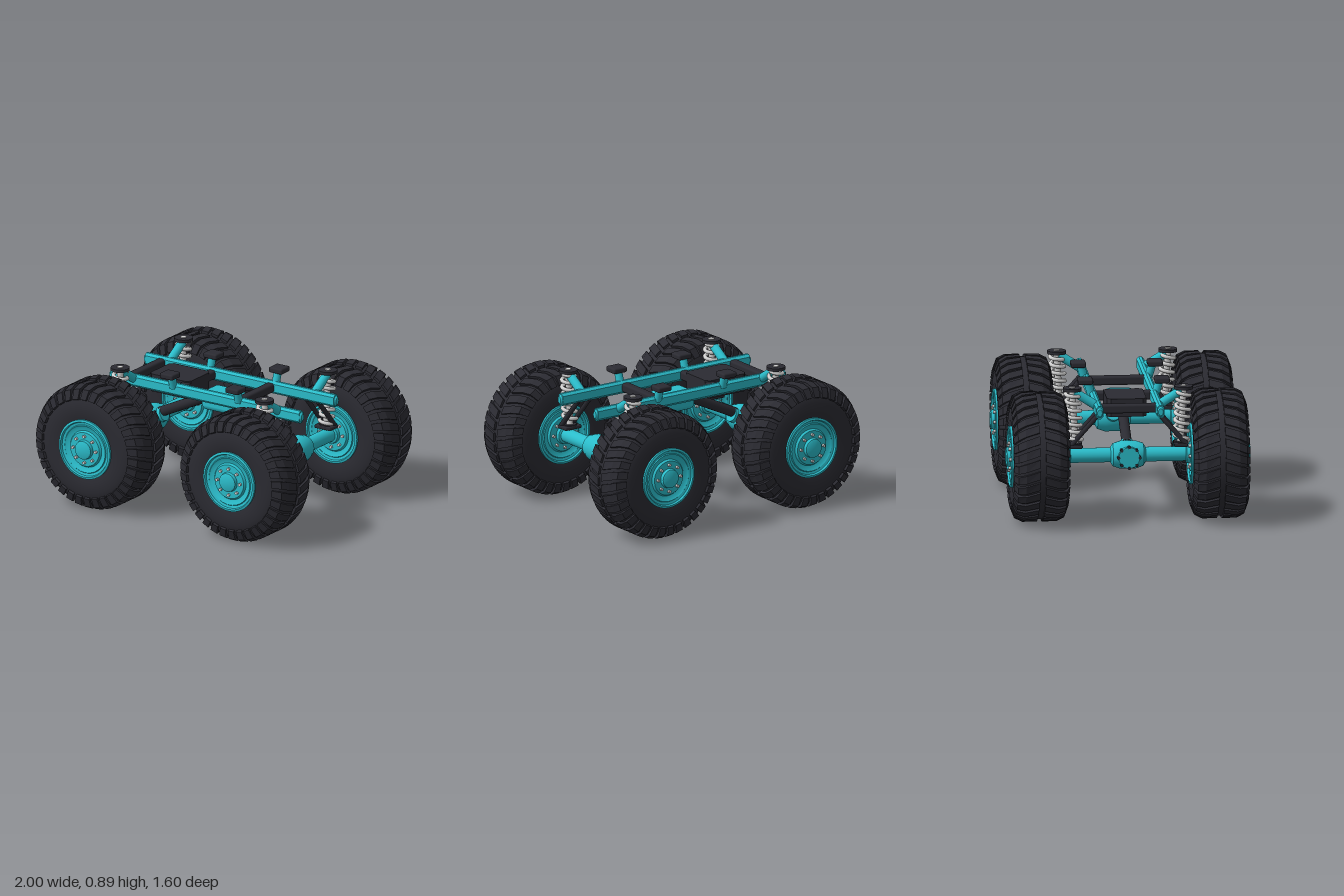
import * as THREE from 'three';
import { mergeGeometries, toCreasedNormals } from 'three/addons/utils/BufferGeometryUtils.js';
import { RoundedBoxGeometry } from 'three/addons/geometries/RoundedBoxGeometry.js';

const material = (name, color) => Object.assign(new THREE.MeshStandardMaterial({ color }), { name });
const teal = material('teal paint', 0x2bbdcb);
const black = material('black rubber', 0x2b2b32);
const steel = material('light steel', 0xd2d2d2);

const AXLE_X = 0.573, AXLE_Y = 0.427, WHEEL_Z = 0.59;

function add(parent, name, geometry, mat, x = 0, y = 0, z = 0) {
  const mesh = new THREE.Mesh(geometry, mat);
  mesh.name = name;
  mesh.position.set(x, y, z);
  parent.add(mesh);
  return mesh;
}

// Round bar between two points
function bar(parent, name, a, b, radius, mat, sides = 16) {
  const from = new THREE.Vector3(...a), to = new THREE.Vector3(...b);
  const dir = to.clone().sub(from);
  const mesh = add(parent, name, new THREE.CylinderGeometry(radius, radius, dir.length(), sides), mat);
  mesh.position.copy(from).add(to).multiplyScalar(0.5);
  mesh.quaternion.setFromUnitVectors(new THREE.Vector3(0, 1, 0), dir.normalize());
  return mesh;
}

// Box with chamfered edges in its x-y outline, extruded along z
function chamferBox(w, h, d, c) {
  const s = new THREE.Shape();
  const x = w / 2 - c, y = h / 2 - c;
  s.moveTo(-x, -y - c).lineTo(x, -y - c).lineTo(x + c, -y).lineTo(x + c, y)
    .lineTo(x, y + c).lineTo(-x, y + c).lineTo(-x - c, y).lineTo(-x - c, -y);
  s.closePath();
  return new THREE.ExtrudeGeometry(s, { depth: d, bevelEnabled: false }).translate(0, 0, -d / 2);
}

// Lathe turned about the z axis from [radius, z] points
function turned(points, segments = 48) {
  const g = new THREE.LatheGeometry(points.map(p => new THREE.Vector2(...p)), segments);
  return toCreasedNormals(g.rotateX(Math.PI / 2), 0.6);
}

// Tread lug swept from the centre groove over the shoulder
function lug(theta, side) {
  const path = [ // z, radius, sweep angle, base z, base radius
    [0.018, 0.427, 0, 0.018, 0.39], [0.11, 0.427, 0.07, 0.11, 0.39],
    [0.16, 0.403, 0.11, 0.14, 0.37], [0.185, 0.34, 0.13, 0.165, 0.33]];
  const pos = [], index = [], w = 0.064;
  for (const [z, r, sweep, bz, br] of path)
    for (const [radius, zz, o] of [[r, z, -w], [r, z, w], [br, bz, w], [br, bz, -w]]) {
      const a = theta + sweep + o;
      pos.push(radius * Math.cos(a), radius * Math.sin(a), side * zz);
    }
  const tri = (a, b, c) => side > 0 ? index.push(a, b, c) : index.push(a, c, b);
  const quad = (a, b, c, d) => { tri(a, b, c); tri(a, c, d); };
  for (let i = 0; i < path.length - 1; i++)
    for (let j = 0; j < 4; j++) {
      const k = (j + 1) % 4;
      quad(i * 4 + j, i * 4 + k, i * 4 + 4 + k, i * 4 + 4 + j);
    }
  quad(3, 2, 1, 0);
  const e = (path.length - 1) * 4;
  quad(e, e + 1, e + 2, e + 3);
  const g = new THREE.BufferGeometry();
  g.setAttribute('position', new THREE.Float32BufferAttribute(pos, 3));
  g.setIndex(index);
  const flat = g.toNonIndexed();
  flat.computeVertexNormals();
  return flat;
}

function mirrorProfile(half) { // half runs from z > 0 outward to the end
  return [...half.map(([r, z]) => [r, -z]).reverse(), ...half];
}

function createWheelParts() {
  const lugs = [], count = 34, pitch = Math.PI * 2 / count;
  for (let i = 0; i < count; i++) lugs.push(lug(i * pitch, 1), lug((i + 0.5) * pitch, -1));
  const tire = turned(mirrorProfile([[0.41, 0.1], [0.4, 0.13], [0.365, 0.162], [0.3, 0.178],
    [0.24, 0.18], [0.2, 0.17]]), 68);
  const rim = turned(mirrorProfile([[0.2, 0.165], [0.203, 0.187], [0.188, 0.191], [0.182, 0.178],
    [0.165, 0.174], [0.16, 0.18], [0.152, 0.174], [0.125, 0.168], [0.115, 0.182], [0.066, 0.184],
    [0.062, 0.206], [0.052, 0.211], [0, 0.211]]));
  const bolts = [];
  for (const side of [-1, 1])
    for (let i = 0; i < 8; i++) {
      const a = i * Math.PI / 4;
      bolts.push(new THREE.CylinderGeometry(0.011, 0.011, 0.024, 6).rotateX(Math.PI / 2)
        .translate(0.09 * Math.cos(a), 0.09 * Math.sin(a), side * 0.186));
    }
  return [['tire', tire, black], ['treadLugs', mergeGeometries(lugs), black],
    ['rim', rim, teal], ['wheelBolts', mergeGeometries(bolts), steel]];
}

// Coil-over shock standing on its lower seat at the origin
function createShock(height) {
  const g = new THREE.Group();
  g.name = 'shockAbsorber';
  const pts = [];
  for (let i = 0; i <= 112; i++) {
    const a = i / 16 * Math.PI * 2;
    pts.push(new THREE.Vector3(0.045 * Math.cos(a), 0.02 + (height - 0.03) * i / 112, 0.045 * Math.sin(a)));
  }
  add(g, 'coilSpring', new THREE.TubeGeometry(new THREE.CatmullRomCurve3(pts), 160, 0.013, 8), steel);
  add(g, 'damperRod', new THREE.CylinderGeometry(0.022, 0.022, height, 14), steel, 0, height / 2, 0);
  add(g, 'lowerSeat', new THREE.CylinderGeometry(0.045, 0.045, 0.025, 20), black);
  return g;
}

export function createModel() {
  const model = new THREE.Group();
  model.name = 'rollingChassis';

  // Wheels
  const parts = createWheelParts();
  for (const x of [-AXLE_X, AXLE_X])
    for (const z of [-WHEEL_Z, WHEEL_Z]) {
      const wheel = new THREE.Group();
      wheel.name = 'wheel';
      wheel.position.set(x, AXLE_Y, z);
      for (const [name, geometry, mat] of parts) add(wheel, name, geometry, mat);
      model.add(wheel);
    }

  // Axles and differential housings
  const housing = turned([[0.05, -0.115], [0.075, -0.1], [0.092, -0.05], [0.092, 0.05], [0.075, 0.1], [0.05, 0.115]], 24);
  for (const s of [-1, 1]) {
    const x = s * AXLE_X;
    bar(model, 'axleTube', [x, AXLE_Y, -0.42], [x, AXLE_Y, 0.42], 0.048, teal, 24);
    add(model, 'differential', housing, teal, x, AXLE_Y, 0);
    bar(model, 'pinionSnout', [x, AXLE_Y, 0], [x - s * 0.1, AXLE_Y + 0.05, 0], 0.05, teal);
  }
  bar(model, 'differentialCover', [-0.685, AXLE_Y, 0], [-0.65, AXLE_Y, 0], 0.07, teal, 24);
  for (let i = 0; i < 8; i++) {
    const a = i * Math.PI / 4, y = AXLE_Y + 0.07 * Math.sin(a), z = 0.07 * Math.cos(a);
    bar(model, 'coverBolt', [-0.69, y, z], [-0.66, y, z], 0.011, black, 6);
  }

  // Frame rails and cross members
  const rail = chamferBox(0.05, 0.085, 1.5, 0.016).rotateY(Math.PI / 2);
  for (const z of [-0.2, 0.2]) {
    add(model, 'frameRail', rail, teal, 0, 0.747, z);
    for (const end of [-1, 1])
      add(model, 'railCap', new THREE.CylinderGeometry(0.016, 0.025, 0.015, 12)
        .rotateZ(-end * Math.PI / 2).scale(1, 1.5, 1), teal, end * 0.755, 0.747, z);
  }
  for (const x of [-0.62, -0.22, 0.245])
    add(model, 'crossMember', new RoundedBoxGeometry(0.06, 0.06, 0.39, 2, 0.015), black, x, 0.747, 0);

  // Drivetrain
  add(model, 'motorBox', chamferBox(0.32, 0.26, 0.12, 0.025).rotateX(Math.PI / 2), black, -0.35, 0.725, 0);
  add(model, 'gearbox', new RoundedBoxGeometry(0.25, 0.13, 0.19, 2, 0.035), teal, 0, 0.665, 0);
  for (const s of [-1, 1])
    bar(model, 'driveShaft', [s * 0.1, 0.675, 0], [s * 0.5, 0.485, 0], 0.034, black);

  // Body mounts
  for (const x of [-0.255, 0.265])
    for (const s of [-1, 1]) {
      bar(model, 'bodyMountPost', [x, 0.76, s * 0.21], [x, 0.845, s * 0.235], 0.027, teal);
      add(model, 'bodyMountPad', new RoundedBoxGeometry(0.105, 0.038, 0.1, 2, 0.012), black, x, 0.856, s * 0.252);
    }

  // Suspension at each corner
  for (const x of [-AXLE_X, AXLE_X])
    for (const s of [-1, 1]) {
      bar(model, 'shockTower', [x, 0.755, s * 0.2], [x, 0.85, s * 0.35], 0.03, teal);
      add(model, 'shockTopCap', new THREE.CylinderGeometry(0.062, 0.062, 0.02, 28), black, x, 0.871, s * 0.365);
      add(model, 'shockTopBolt', new THREE.CylinderGeometry(0.02, 0.02, 0.01, 12), steel, x, 0.881, s * 0.365);
      const shock = createShock(0.365);
      shock.position.set(x, 0.5, s * 0.345);
      shock.rotation.x = s * 0.055;
      model.add(shock);
      add(model, 'shockBracket', new RoundedBoxGeometry(0.13, 0.025, 0.09, 1, 0.008), black, x, 0.495, s * 0.345);
      for (const o of [-1, 1])
        bar(model, 'suspensionLink', [x + o * 0.045, 0.715, s * 0.19], [x + o * 0.045, 0.495, s * 0.385], 0.016, black, 12);
    }
  return model;
}
